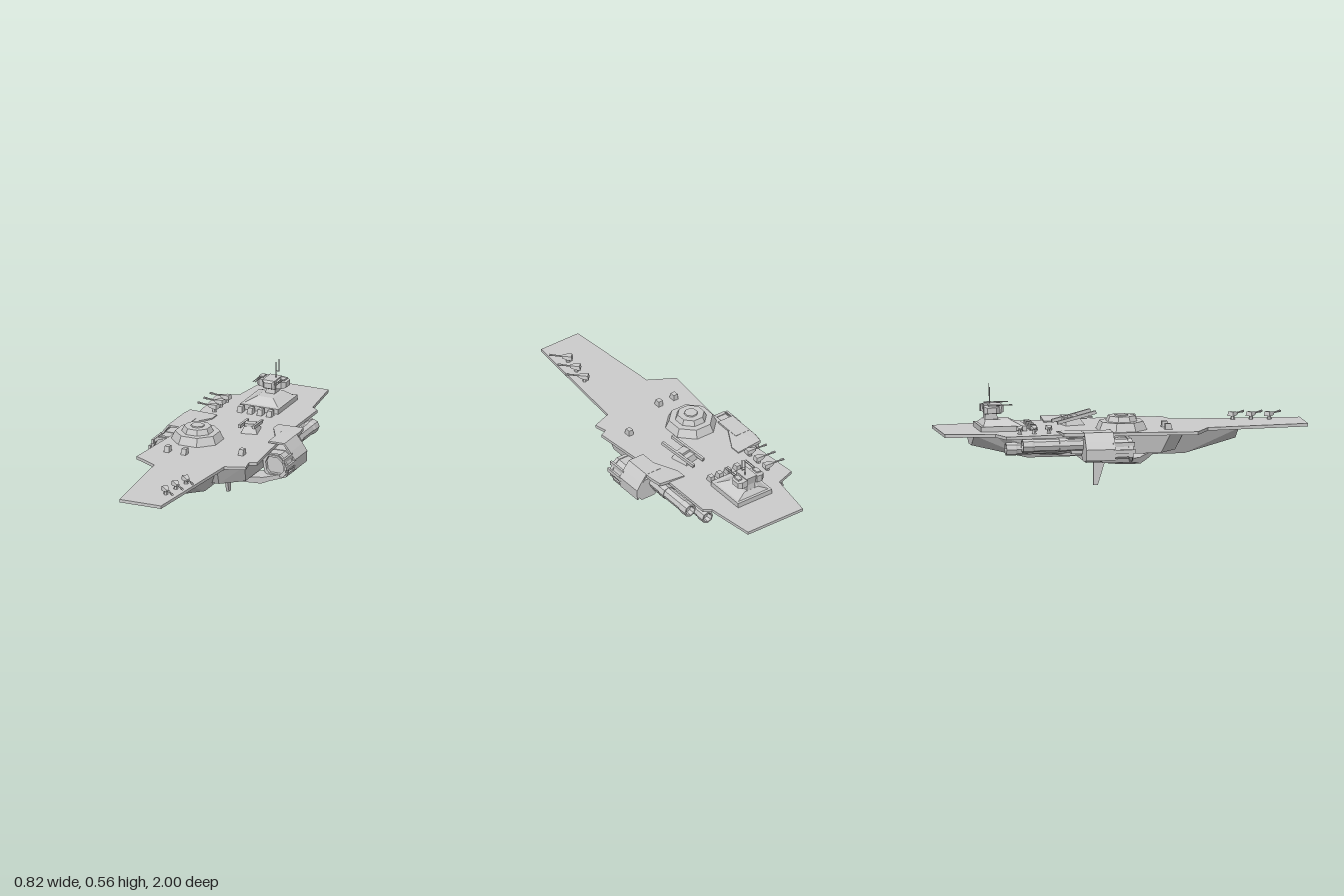
import * as THREE from 'three';
import { ConvexGeometry } from 'three/addons/geometries/ConvexGeometry.js';

const grey = new THREE.MeshStandardMaterial({ color: 0xcccccc, flatShading: true, side: THREE.DoubleSide });

export function createModel() {
  const model = new THREE.Group();

  const add = (name, geometry, parent = model) => {
    const m = new THREE.Mesh(geometry, grey);
    m.name = name;
    parent.add(m);
    return m;
  };
  const box = (name, w, h, d, x, y, z, parent) => {
    const m = add(name, new THREE.BoxGeometry(w, h, d), parent);
    m.position.set(x, y, z);
    return m;
  };
  // Convex solid from corner points
  const solid = (name, pts, parent) =>
    add(name, new ConvexGeometry(pts.map(p => new THREE.Vector3(...p))), parent);
  // Convex solid symmetric about x = 0
  const symmetric = (name, pts, parent) =>
    solid(name, pts.flatMap(([x, y, z]) => [[x, y, z], [-x, y, z]]), parent);
  // Frustum with rectangular base and top: half sizes, heights and z ranges
  const frustum = (name, w0, z0, z1, y0, w1, z2, z3, y1, cx = 0, parent) =>
    solid(name, [-1, 1].flatMap(s => [
      [cx + s * w0, y0, z0], [cx + s * w0, y0, z1], [cx + s * w1, y1, z2], [cx + s * w1, y1, z3]]), parent);
  const outline = pts => new THREE.Shape(pts.map(p => new THREE.Vector2(...p)));
  // Cross-section in xy extruded from z0 to z1
  const section = (name, pts, z0, z1, hole, parent) => {
    const shape = outline(pts);
    if (hole) shape.holes.push(new THREE.Path(hole.map(p => new THREE.Vector2(...p))));
    const g = new THREE.ExtrudeGeometry(shape, { depth: z1 - z0, bevelEnabled: false });
    return add(name, g.translate(0, 0, z0), parent);
  };
  const rod = (name, a, b, r, sides = 6, parent = model, r2 = r) => {
    const p = new THREE.Vector3(...a), q = new THREE.Vector3(...b);
    const m = add(name, new THREE.CylinderGeometry(r2, r, p.distanceTo(q), sides), parent);
    m.position.copy(p).lerp(q, 0.5);
    m.quaternion.setFromUnitVectors(new THREE.Vector3(0, 1, 0), q.sub(p).normalize());
    return m;
  };

  // Flight deck
  const deckOutline = [
    [-0.165, -1], [0.2, -1], [0.235, -0.72], [0.275, -0.69], [0.275, -0.3], [0.315, 0.18], [0.275, 0.2],
    [0.29, 0.27], [0.18, 0.31], [0.12, 1], [-0.125, 1], [-0.175, 0.44], [-0.315, 0.36],
    [-0.28, 0], [-0.285, -0.3], [-0.315, -0.69], [-0.205, -0.73]];
  const deck = new THREE.ExtrudeGeometry(outline(deckOutline), { depth: 0.017, bevelEnabled: false });
  add('deck', deck.rotateX(Math.PI / 2).translate(0, 0.32, 0));

  // Hull: central keel, wide midsection, belly pod and fin
  symmetric('keel', [
    [0.12, 0.304, 0.62], [0.03, 0.24, 0.62], [0.14, 0.304, 0.3], [0.075, 0.17, 0.33],
    [0.14, 0.304, -0.5], [0.075, 0.17, -0.53], [0.12, 0.304, -0.83], [0.04, 0.24, -0.83]]);
  symmetric('midHull', [
    [0.14, 0.304, 0.32], [0.26, 0.304, 0.22], [0.13, 0.2, 0.27], [0.243, 0.2, 0.17],
    [0.26, 0.304, -0.4], [0.243, 0.2, -0.36], [0.12, 0.304, -0.72], [0.1, 0.2, -0.6]]);
  frustum('bellyPod', 0.028, -0.2, -0.06, 0.125, 0.038, -0.26, -0.01, 0.171);
  frustum('bellyFin', 0.008, -0.155, -0.13, 0, 0.008, -0.155, -0.09, 0.13);

  // Octagonal deck dome in tiers
  const dome = new THREE.Group();
  dome.name = 'dome';
  dome.position.set(-0.13, 0, -0.025);
  model.add(dome);
  for (const [a0, a1, y0, y1] of [
    [0.131, 0.112, 0.32, 0.365], [0.08, 0.068, 0.365, 0.394], [0.035, 0.033, 0.394, 0.4]]) {
    const k = 1 / Math.cos(Math.PI / 8);
    const g = new THREE.CylinderGeometry(a1 * k, a0 * k, y1 - y0, 8);
    add('domeTier', g.rotateY(Math.PI / 8).translate(0, (y0 + y1) / 2, 0), dome);
  }

  // Command tower
  const tower = new THREE.Group();
  tower.name = 'commandTower';
  model.add(tower);
  box('towerBase', 0.225, 0.028, 0.25, 0, 0.334, -0.665, tower);
  frustum('towerRoof', 0.1, -0.775, -0.565, 0.348, 0.045, -0.755, -0.62, 0.376, 0, tower);
  frustum('towerNeck', 0.027, -0.755, -0.68, 0.37, 0.027, -0.75, -0.69, 0.412, 0, tower);
  symmetric('bridgeCabin', [
    [0.035, 0.457, -0.66], [0.022, 0.445, -0.65], [0.022, 0.415, -0.65], [0.035, 0.405, -0.67],
    [0.035, 0.457, -0.76], [0.035, 0.405, -0.75]], tower);
  for (const s of [-1, 1]) {
    solid('bridgeWing', [0.41, 0.45].flatMap(y => [
      [s * 0.03, y - 0.002, -0.68], [s * 0.03, y + 0.003, -0.765], [s * 0.065, y, -0.68],
      [s * 0.086, y < 0.43 ? 0.415 : 0.445, -0.7], [s * 0.086, y < 0.43 ? 0.415 : 0.445, -0.75],
      [s * 0.065, y, -0.765]]), tower);
    box('wingGun', 0.026, 0.009, 0.04, s * 0.062, 0.455, -0.72, tower);
    for (const d of [-0.006, 0.006])
      rod('wingGunBarrel', [s * 0.062 + d, 0.457, -0.71], [s * 0.062 + d, 0.457, -0.61], 0.0025, 6, tower);
  }
  box('mast', 0.004, 0.09, 0.004, 0.016, 0.5, -0.72, tower);
  box('mastArm', 0.022, 0.004, 0.004, 0.026, 0.496, -0.72, tower);
  box('upperMast', 0.004, 0.068, 0.004, 0.035, 0.53, -0.72, tower);

  // Deck lockers
  for (const [x, z] of [[-0.09, -0.5], [-0.03, -0.5], [0.027, -0.5], [0.083, -0.5],
    [-0.195, 0.22], [-0.095, 0.22], [0.19, 0.1]])
    frustum('deckLocker', 0.015, z - 0.02, z + 0.02, 0.32, 0.013, z - 0.018, z + 0.012, 0.352, x);

  // Small deck turrets, barrel along local +z
  const turret = (x, z, angle) => {
    const t = new THREE.Group();
    t.name = 'deckTurret';
    t.position.set(x, 0.32, z);
    t.rotation.y = angle;
    add('turretFoot', new THREE.CylinderGeometry(0.009, 0.013, 0.024, 6).translate(0, 0.012, 0), t);
    symmetric('turretBody', [
      [0.02, 0.02, -0.025], [0.017, 0.045, -0.02], [0.02, 0.022, 0.005],
      [0.015, 0.044, 0.005], [0.01, 0.026, 0.035], [0.008, 0.038, 0.035]], t);
    rod('turretBarrel', [0, 0.032, 0.03], [0, 0.034, 0.1], 0.005, 6, t);
    rod('turretMuzzle', [0, 0.034, 0.09], [0, 0.034, 0.108], 0.007, 6, t);
    t.scale.setScalar(0.95);
    model.add(t);
  };
  for (const i of [0, 1, 2]) {
    turret(0.1 - i * 0.016, 0.63 + i * 0.097, Math.PI / 4);
    turret(-0.22, -0.6 + i * 0.08, -Math.PI / 2 - 0.1);
  }

  // Twin-rail heavy cannon
  const cannon = new THREE.Group();
  cannon.name = 'heavyCannon';
  cannon.position.set(0.082, 0.32, -0.25);
  cannon.rotation.y = 0.22;
  model.add(cannon);
  frustum('cannonMount', 0.045, -0.06, 0.05, 0, 0.03, -0.05, 0.03, 0.035, 0, cannon);
  box('cannonHousing', 0.06, 0.02, 0.045, 0, 0.04, 0.005, cannon);
  for (const s of [-1, 1]) {
    const rail = box('cannonRail', 0.014, 0.018, 0.23, s * 0.039, 0.042, 0.005, cannon);
    rail.rotation.x = -0.2;
  }

  // Side engine pods with arms, fins and thrusters
  for (const s of [-1, 1]) {
    const pod = new THREE.Group();
    pod.name = s > 0 ? 'leftPod' : 'rightPod';
    model.add(pod);
    const flip = pts => pts.map(([x, ...rest]) => [s * x, ...rest]);
    const scaled = (pts, k) => pts.map(([x, y]) => [0.332 + (x - 0.332) * k, 0.245 + (y - 0.245) * k]);
    const ring = [[0.27, 0.2], [0.262, 0.26], [0.28, 0.3], [0.355, 0.3], [0.385, 0.275],
      [0.4, 0.24], [0.4, 0.205], [0.375, 0.178], [0.29, 0.178]];
    section('podBody', flip(ring), -0.27, -0.1, null, pod);
    section('podCollar', flip(scaled(ring, 0.95)), -0.1, -0.01, flip(scaled(ring, 0.76)), pod);
    section('podCore', flip(scaled(ring, 0.77)), -0.1, -0.03, null, pod);
    section('podLip', flip(scaled(ring, 1.03)), -0.035, -0.015, flip(scaled(ring, 0.82)), pod);

    // Armour shell wrapped over the pod
    section('podShell', flip([[0.25, 0.325], [0.25, 0.335], [0.345, 0.335], [0.38, 0.29], [0.407, 0.25],
      [0.405, 0.19], [0.395, 0.19], [0.397, 0.248], [0.372, 0.285], [0.34, 0.325]]), -0.27, -0.11, null, pod);
    for (const [x, y] of [[0.402, 0.235], [0.385, 0.272]])
      box('shellStrut', 0.012, 0.022, 0.12, s * x, y, -0.06, pod);

    // Arm from deck to pod
    solid('podArm', flip([0.316, 0.334].flatMap(y => [
      [0.18, y - 0.008, -0.39], [0.18, y - 0.008, -0.33], [0.25, y, -0.2], [0.345, y, -0.2],
      [0.345, y, -0.31], [0.335, y, -0.38]])), pod);
    solid('podBracket', flip([[0.23, 0.3, -0.35], [0.3, 0.3, -0.35], [0.3, 0.3, -0.12], [0.23, 0.3, -0.12],
      [0.23, 0.215, -0.33], [0.3, 0.215, -0.33], [0.3, 0.215, -0.14], [0.23, 0.215, -0.14]]), pod);

    // Swept lower fin, sheared forward toward the hull
    const fin = section('lowerFin', flip([[0.15, 0.183], [0.2, 0.168], [0.28, 0.15], [0.32, 0.162], [0.39, 0.175],
      [0.4, 0.198], [0.29, 0.185], [0.22, 0.193], [0.16, 0.193]]), -0.18, -0.03, null, pod);
    const p = fin.geometry.attributes.position;
    for (let i = 0; i < p.count; i++) {
      const inward = 0.39 - Math.abs(p.getX(i));
      p.setZ(i, p.getZ(i) * (1 - inward * 1.6) + inward * 0.68);
    }
    fin.geometry.computeVertexNormals();

    // Rear thrusters
    for (const [x, y, z, r] of [[0.292, 0.265, -0.6, 0.034], [0.235, 0.243, -0.68, 0.032]]) {
      rod('thruster', [s * x, y, -0.25], [s * x, y, z + 0.06], r, 8, pod);
      rod('thrusterBand', [s * x, y, -0.4], [s * x, y, -0.36], r * 1.12, 8, pod);
      const nozzle = new THREE.LatheGeometry([[0, 0.03], [r * 0.7, 0.03], [r * 0.85, 0], [r * 1.1, 0],
        [r * 1.15, 0.05], [r * 0.9, 0.075]].map(q => new THREE.Vector2(...q)), 8);
      add('thrusterNozzle', nozzle.rotateX(Math.PI / 2).translate(s * x, y, z), pod);
    }
  }
  return model;
}
